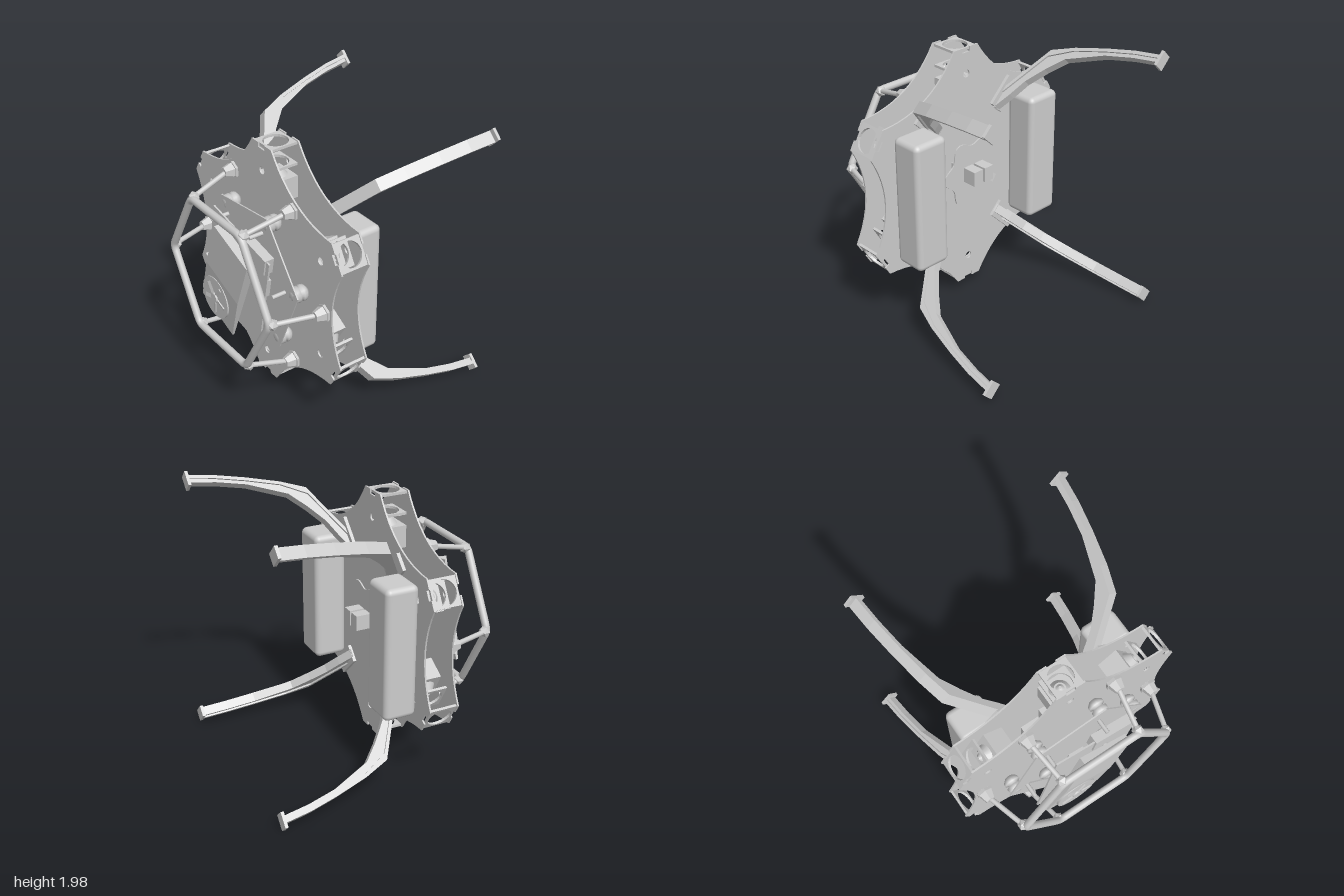
import * as THREE from 'three';
import { RoundedBoxGeometry } from 'three/addons/geometries/RoundedBoxGeometry.js';

const CY = 1.02; // height of the body's axis
const mat = new THREE.MeshStandardMaterial({ color: 0xcccccc, side: THREE.DoubleSide });
const flat = new THREE.MeshStandardMaterial({ color: 0xcccccc, side: THREE.DoubleSide, flatShading: true });

function add(parent, name, geo, x = 0, y = 0, z = 0, material = mat) {
  const m = new THREE.Mesh(geo, material);
  m.name = name;
  m.position.set(x, y, z);
  parent.add(m);
  return m;
}
function group(parent, name, x = 0, y = 0, z = 0, rotZ = 0) {
  const g = new THREE.Group();
  g.name = name;
  g.position.set(x, y, z);
  g.rotation.z = rotZ;
  parent.add(g);
  return g;
}
const box = (w, h, d) => new THREE.BoxGeometry(w, h, d);
const cylZ = (r1, r2, h, n = 20) => new THREE.CylinderGeometry(r1, r2, h, n).rotateX(Math.PI / 2);
const extrude = (shape, depth, curveSegments = 12) =>
  new THREE.ExtrudeGeometry(shape, { depth, bevelEnabled: false, curveSegments });
const polar = (r, deg) => new THREE.Vector2(r, 0).rotateAround(new THREE.Vector2(), deg * Math.PI / 180);
const hole = (x, y, r, n = 0) => {
  const p = new THREE.Path();
  p.absarc(x, y, r, 0, Math.PI * 2, true);
  return p;
};
const polygon = (r, n, start = 0) => new THREE.Shape(
  Array.from({ length: n }, (_, i) => polar(r, start + i * 360 / n)));

// cylinder between two points
function rod(parent, name, a, b, r) {
  const m = add(parent, name, new THREE.CylinderGeometry(r, r, a.distanceTo(b), 12));
  m.position.copy(a).add(b).multiplyScalar(0.5);
  m.quaternion.setFromUnitVectors(new THREE.Vector3(0, 1, 0), b.clone().sub(a).normalize());
}

// star plate: six notched arm ends joined by concave curves
function starShape() {
  const s = new THREE.Shape();
  for (let i = 0; i < 6; i++) {
    const deg = 30 + i * 60;
    const at = (r, t) => new THREE.Vector2(r, t).rotateAround(new THREE.Vector2(), deg * Math.PI / 180);
    [[0.92, -0.107], [0.92, -0.035], [0.885, -0.035], [0.885, 0.035], [0.92, 0.035], [0.92, 0.107]]
      .forEach(([r, t], k) => {
        const p = at(r, t);
        if (i + k === 0) s.moveTo(p.x, p.y); else s.lineTo(p.x, p.y);
      });
    const c = polar(0.65, deg + 30), e = new THREE.Vector2(0.92, -0.107)
      .rotateAround(new THREE.Vector2(), (deg + 60) * Math.PI / 180);
    s.quadraticCurveTo(c.x, c.y, e.x, e.y);
    const h = polar(0.73, deg);
    s.holes.push(hole(h.x, h.y, 0.028));
  }
  return s;
}

function buildBody(root) {
  const body = group(root, 'body', 0, CY);
  const plate = extrude(starShape(), 0.012);
  add(body, 'backPlate', plate, 0, 0, 0.217);
  add(body, 'frontPlate', plate, 0, 0, 0.428);

  // arm ends with round windows, and a camera inside each arm
  const wall = new THREE.Shape([[-0.1, -0.1], [0.1, -0.1], [0.1, 0.1], [-0.1, 0.1]].map(p => new THREE.Vector2(...p)));
  wall.holes.push(hole(0, 0, 0.086));
  const wallGeo = extrude(wall, 0.018).rotateY(Math.PI / 2);
  for (let i = 0; i < 6; i++) {
    const arm = group(body, 'arm', 0, 0, 0.328, (30 + i * 60) * Math.PI / 180);
    add(arm, 'endWall', wallGeo, 0.895);
    add(arm, 'innerWall', wallGeo, 0.745);
    add(arm, 'cameraHousing', box(0.16, 0.21, 0.195), 0.59);
    add(arm, 'cameraLens', new THREE.CylinderGeometry(0.04, 0.075, 0.045, 16).rotateZ(-Math.PI / 2), 0.692);
    add(arm, 'cameraTip', new THREE.CylinderGeometry(0.01, 0.03, 0.02, 12).rotateZ(-Math.PI / 2), 0.724);
  }
  // electronics between the plates
  add(body, 'core', box(0.5, 0.3, 0.17), 0, 0, 0.335);
  add(body, 'coreModule', box(0.22, 0.6, 0.15), 0, 0, 0.33);
}

function buildBack(root) {
  const back = group(root, 'backEquipment', 0, CY);
  for (const s of [-1, 1])
    add(back, 'battery', new RoundedBoxGeometry(0.27, 0.96, 0.24, 3, 0.04), s * 0.535, 0, 0.098);
  // lobed sensor board
  const lobes = new THREE.Shape();
  for (let i = 0; i <= 72; i++) {
    const p = polar(0.235 + 0.03 * Math.cos(i * Math.PI / 6), i * 5);
    if (i) lobes.lineTo(p.x, p.y); else lobes.moveTo(p.x, p.y);
  }
  add(back, 'sensorBoard', extrude(lobes, 0.01), 0, 0, 0.163);
  add(back, 'sensorSpacer', box(0.3, 0.2, 0.05), 0, 0, 0.193);
  for (const x of [-0.055, 0.045]) add(back, 'sensorBlock', box(0.08, 0.11, 0.11), x, 0, 0.108);
  const bracket = add(back, 'bracket', box(0.1, 0.06, 0.05), -0.21, -0.13, 0.14);
  bracket.rotation.z = 0.6;
}

function buildLegs(root) {
  // side profiles as (distance outward, z)
  const outer = [[0.5, 0.217], [0.905, 0], [0.98, -0.18], [1.05, -0.42], [1.1, -0.63], [1.13, -0.83]];
  const inner = [[1.08, -0.83], [1.05, -0.63], [1.0, -0.42], [0.88, -0.14], [0.76, -0.03], [0.63, 0.07], [0.5, 0.13], [0.37, 0.2]];
  const mid = outer.map(([d, z], i) => [d - (i < 2 ? 0.05 : 0.025), z]).reverse();
  const strip = (pts, w) => extrude(new THREE.Shape(pts.map(p => new THREE.Vector2(...p))), w)
    .translate(0, 0, -w / 2).rotateX(Math.PI / 2);
  const rail = strip([...outer, ...mid], 0.085);
  const web = strip([...outer, ...inner], 0.06);
  for (const sy of [-1, 1]) for (const sx of [-1, 1]) {
    const leg = group(root, 'leg', 0, 1.003 + sy * 0.14, 0, Math.atan2(sy, sx));
    add(leg, 'legRail', rail);
    add(leg, 'legWeb', web);
    add(leg, 'legMount', box(0.24, 0.13, 0.025), 0.5, 0, 0.205);
    add(leg, 'foot', box(0.11, 0.085, 0.022), 1.107, 0, -0.824);
  }
}

function buildGuard(root) {
  const guard = group(root, 'guard', 0, CY);
  // rounded hexagonal bumper
  const path = new THREE.CurvePath();
  const v3 = (p, z) => new THREE.Vector3(p.x, p.y, z);
  for (let i = 0; i < 6; i++) {
    const a = polar(0.59, i * 60), b = polar(0.59, i * 60 + 60), c = polar(0.59, i * 60 + 120);
    const p = v3(a.clone().lerp(b, 0.08), 0.805), q = v3(a.clone().lerp(b, 0.92), 0.805);
    path.add(new THREE.LineCurve3(p, q));
    path.add(new THREE.QuadraticBezierCurve3(q, v3(b, 0.805), v3(b.clone().lerp(c, 0.08), 0.805)));
  }
  add(guard, 'bumper', new THREE.TubeGeometry(path, 180, 0.027, 10, true));
  for (let i = 0; i < 6; i++) {
    const foot = v3(polar(0.68, i * 60), 0.49), tip = v3(polar(0.59, i * 60), 0.795);
    rod(guard, 'guardStrut', foot, tip, 0.018);
    add(guard, 'strutMount', cylZ(0.035, 0.062, 0.085, 6), foot.x, foot.y, 0.48, flat);
    add(guard, 'mountBase', cylZ(0.065, 0.06, 0.025, 6), foot.x, foot.y, 0.447, flat);
    add(guard, 'guardCorner', new THREE.IcosahedronGeometry(0.042, 0), tip.x, tip.y, tip.z - 0.01, flat);
  }
}

function buildFront(root) {
  const front = group(root, 'frontElectronics', 0, CY);
  // ring plate on rubber dampers
  const ring = polygon(0.55, 6, 7);
  ring.holes.push(new THREE.Path(polygon(0.4, 6, 7).getPoints().reverse()));
  add(front, 'damperPlate', extrude(ring, 0.01), 0, 0, 0.548);
  const damper = [[0, -0.058], [0.03, -0.058], [0.055, -0.035], [0.058, -0.012], [0.035, 0], [0.058, 0.012], [0.055, 0.04], [0.03, 0.058], [0, 0.058]];
  const damperGeo = new THREE.LatheGeometry(damper.map(p => new THREE.Vector2(...p)), 16).rotateX(Math.PI / 2);
  for (let i = 0; i < 6; i++) {
    const p = polar(0.485, 7 + i * 60);
    add(front, 'damper', damperGeo, p.x, p.y, 0.5);
    const q = polar(0.41, 7 + i * 60);
    add(front, 'standoff', cylZ(0.015, 0.015, 0.11, 8), q.x, q.y, 0.605);
  }
  // main circuit board and its parts
  const board = group(front, 'mainBoard', 0, 0, 0, -0.2);
  add(board, 'circuitBoard', box(0.66, 0.74, 0.012), 0, 0, 0.662);
  add(board, 'heatSink', box(0.32, 0.12, 0.07), 0.14, 0.32, 0.645);
  add(board, 'connector', box(0.1, 0.14, 0.05), 0.25, 0.12, 0.635);
  add(board, 'connector', box(0.12, 0.08, 0.05), -0.1, 0.18, 0.635);
  add(board, 'chip', box(0.22, 0.22, 0.03), 0.02, -0.05, 0.645);

  // tilted cover panel with a round fan
  const unit = group(front, 'coolingUnit', -0.035, -0.035, 0, -0.365);
  const panel = new THREE.Shape([[-0.37, 0.72], [0.37, 0.7], [0.37, 0.765], [0, 0.765], [-0.37, 0.735]].map(p => new THREE.Vector2(...p)));
  const panelGeo = extrude(panel, 0.4).translate(0, 0, -0.2)
    .applyMatrix4(new THREE.Matrix4().set(0, 0, 1, 0, 1, 0, 0, 0, 0, 1, 0, 0, 0, 0, 0, 1));
  add(unit, 'coverPanel', panelGeo);
  const fan = group(unit, 'fan', -0.03, -0.2, 0.745);
  add(fan, 'fanDisc', cylZ(0.155, 0.155, 0.05, 32), 0, 0, -0.005);
  add(fan, 'fanHub', cylZ(0.035, 0.04, 0.03, 16), 0, 0, 0.018);
  for (let i = 0; i < 5; i++) {
    const blade = group(fan, 'fanBlade', 0, 0, 0.02, i * Math.PI * 0.4);
    add(blade, 'blade', box(0.09, 0.03, 0.008), 0.075).rotation.x = 0.3;
  }
  for (const y of [-0.25, 0.25]) add(unit, 'coverPost', cylZ(0.02, 0.02, 0.06, 10), 0.1, y, 0.69);
}

export function createModel() {
  const root = new THREE.Group();
  root.name = 'drone';
  buildBody(root);
  buildBack(root);
  buildLegs(root);
  buildGuard(root);
  buildFront(root);
  return root;
}
